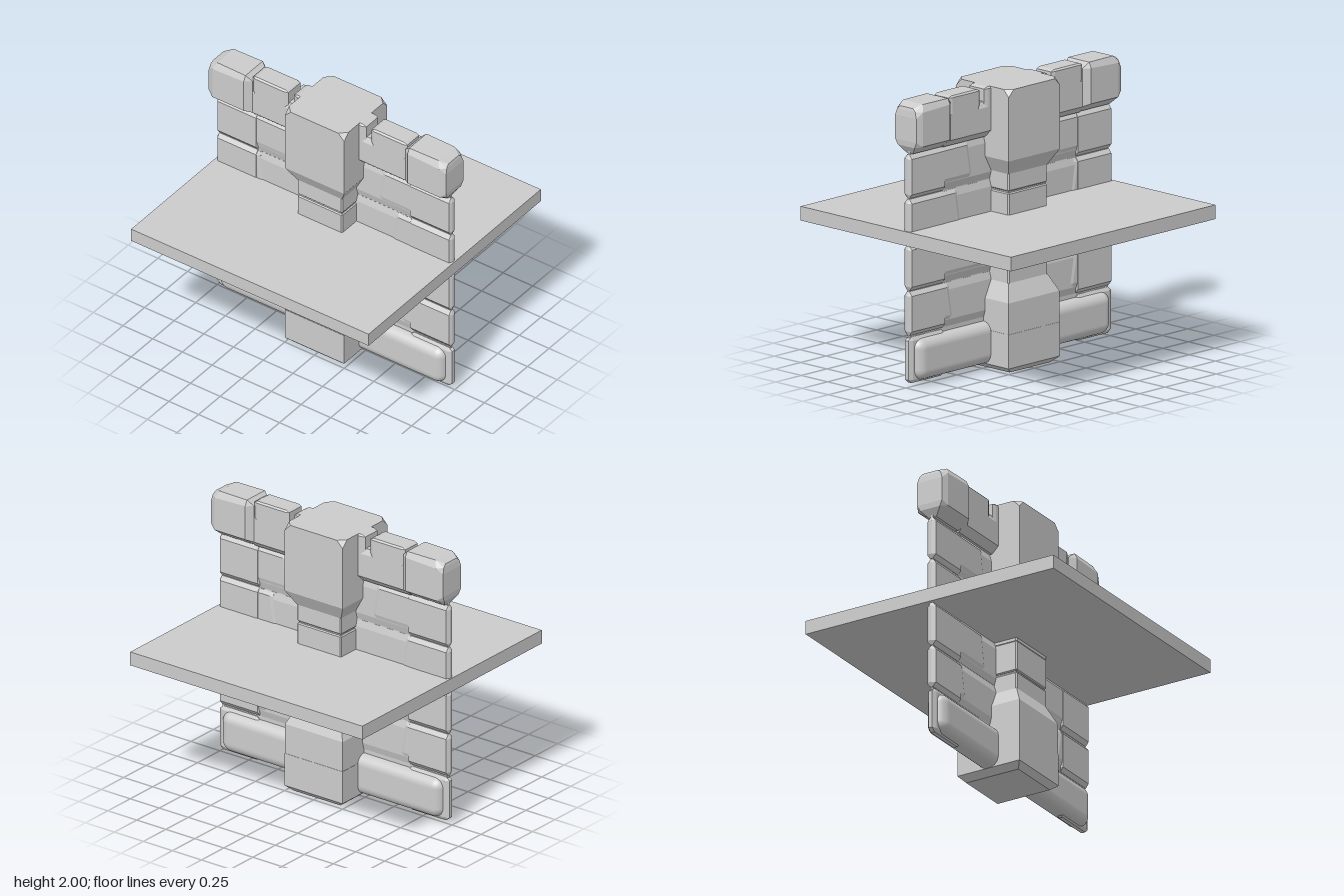
import * as THREE from 'three';
import { RoundedBoxGeometry } from 'three/addons/geometries/RoundedBoxGeometry.js';
import { ConvexGeometry } from 'three/addons/geometries/ConvexGeometry.js';

const stone = new THREE.MeshStandardMaterial({ color: 0xcccccc });
const V = (x, y, z) => new THREE.Vector3(x, y, z);

// Stone with separately sized chamfers along x, y and z
function chamferBox(hx, y0, y1, z0, z1, cx, cy, cz) {
  const yc = (y0 + y1) / 2, hy = (y1 - y0) / 2;
  const zc = (z0 + z1) / 2, hz = Math.abs(z1 - z0) / 2;
  const pts = [];
  for (const a of [-1, 1]) for (const b of [-1, 1]) for (const c of [-1, 1]) {
    pts.push(V(a * hx, yc + b * (hy - cy), zc + c * (hz - cz)));
    pts.push(V(a * (hx - cx), yc + b * hy, zc + c * (hz - cz)));
    pts.push(V(a * (hx - cx), yc + b * (hy - cy), zc + c * hz));
  }
  return new ConvexGeometry(pts);
}

// Convex stack of rectangles, each [half x, half z, y, centre z]
function stack(rings) {
  const pts = [];
  for (const [hx, hz, y, zc = 0] of rings)
    for (const a of [-1, 1]) for (const c of [-1, 1]) pts.push(V(a * hx, y, zc + c * hz));
  return new ConvexGeometry(pts);
}

export function createModel() {
  const model = new THREE.Group();
  const add = (name, geometry, parent = model) => {
    const mesh = new THREE.Mesh(geometry, stone);
    mesh.name = name;
    parent.add(mesh);
    return mesh;
  };

  // Floor slab
  add('floorSlab', new THREE.BoxGeometry(2, 0.1, 2)).position.y = 1.05;

  // Central pillar: flared base, shaft stones, flared cap
  const pillar = new THREE.Group();
  pillar.name = 'pillar';
  model.add(pillar);
  add('pillarFoot', stack([[0.21, 0.2, 0], [0.25, 0.25, 0.04], [0.25, 0.25, 0.28]]), pillar);
  add('pillarBase', stack([[0.248, 0.248, 0.28], [0.248, 0.248, 0.5], [0.19, 0.19, 0.62]]), pillar);
  for (const [y0, y1] of [[0.6, 0.745], [0.755, 0.98], [0.97, 1.255], [1.265, 1.42]])
    add('shaftStone', chamferBox(0.19, y0, y1, -0.19, 0.19, 0.008, 0.008, 0.008), pillar);
  add('shaftCore', new THREE.BoxGeometry(0.36, 0.9, 0.36), pillar).position.y = 1.0;
  const cap = [];
  for (const a of [-1, 1]) for (const c of [-1, 1]) {
    cap.push(V(a * 0.19, 1.39, c * 0.19), V(a * 0.25, 1.5, c * 0.25), V(a * 0.25, 1.95, c * 0.25));
    cap.push(V(a * 0.2, 2, c * 0.25), V(a * 0.25, 2, c * 0.2));
  }
  add('pillarCap', new ConvexGeometry(cap), pillar);

  // Thin courses: [bottom, top, slanted joint on +z side, on -z side]
  const courses = [
    [1.33, 1.64, 0.39, 0.35], [1.0, 1.325, 0.5, 0.6],
    [0.68, 1.0, 0.27, 0.34], [0.365, 0.675, 0.58, 0.59],
  ];
  for (const s of [1, -1]) {
    const wing = new THREE.Group();
    wing.name = s > 0 ? 'frontWing' : 'backWing';
    model.add(wing);

    for (const [y0, y1, jointFront, jointBack] of courses) {
      const joint = s > 0 ? jointFront : jointBack;
      add('endStone', chamferBox(0.034, y0, y1, s * 0.635, s * 0.99, 0.024, 0.03, 0.015), wing);
      add('courseStone', chamferBox(0.024, y0, y1, s * 0.12, s * 0.66, 0.014, 0.05, 0.01), wing);
      // Raised stone with a slanted inner edge
      const face = [];
      for (const x of [-1, 1]) {
        for (const [y, shift] of [[y0 + 0.08, -0.015], [y1 - 0.03, 0.02]])
          face.push(V(x * 0.031, y, s * (joint + shift + 0.03)), V(x * 0.02, y, s * (joint + shift)),
            V(x * 0.031, y, s * 0.65));
        for (const y of [y0 + 0.01, y1 - 0.005])
          face.push(V(x * 0.012, y, s * (joint + 0.03)), V(x * 0.012, y, s * 0.65));
      }
      add('raisedStone', new ConvexGeometry(face), wing);
    }
    // Core that closes the joints between courses
    const core = add('wallCore', new THREE.BoxGeometry(0.018, 1.6, 0.85), wing);
    core.position.set(0, 0.9, s * 0.545);

    // Parapet course and its raised blocks
    add('parapet', stack([
      [0.03, 0.25, 1.64, s * 0.42], [0.08, 0.26, 1.69, s * 0.43],
      [0.08, 0.26, 1.86, s * 0.43], [0.06, 0.26, 1.9, s * 0.43],
    ]), wing);
    add('parapetBlock', chamferBox(0.08, 1.78, 2, s * 0.35, s * 0.65, 0.012, 0.012, 0.025), wing);
    add('parapetInnerBlock', chamferBox(0.08, 1.78, 2, s * 0.2, s * 0.305, 0.012, 0.012, 0.03), wing);

    // Heavy end block, tapering below and towards the wall
    const end = [];
    for (const x of [-1, 1]) {
      end.push(V(x * 0.03, 1.645, s * 0.69), V(x * 0.03, 1.645, s * 0.96));
      end.push(V(x * 0.08, 1.69, s * 0.645), V(x * 0.08, 1.96, s * 0.645));
      end.push(V(x * 0.12, 1.71, s * 0.69), V(x * 0.12, 1.71, s * 0.955));
      end.push(V(x * 0.12, 1.96, s * 0.69), V(x * 0.12, 1.95, s * 0.955));
      end.push(V(x * 0.1, 2, s * 0.69), V(x * 0.095, 2, s * 0.93));
      // Rounded outer face
      end.push(V(x * 0.08, 1.7, s * 0.995), V(x * 0.1, 1.74, s), V(x * 0.1, 1.91, s));
      end.push(V(x * 0.085, 1.955, s * 0.995), V(x * 0.06, 1.975, s * 0.99));
    }
    add('parapetEndBlock', new ConvexGeometry(end), wing);

    // Thin foot stone behind the rounded beam
    add('footStone', chamferBox(0.03, 0.03, 0.355, s * 0.64, s * 0.99, 0.015, 0.025, 0.03), wing);
  }

  // Rounded bottom beam, running through the pillar, with a flatter, sharper top
  const beam = new RoundedBoxGeometry(0.16, 0.3, 1.9, 6, 0.075);
  const p = beam.attributes.position;
  for (let i = 0; i < p.count; i++) {
    const y = p.getY(i), z = p.getZ(i);
    if (y < 0) p.setZ(i, z * (1 - 0.25 * y * y));
    else if (y > 0.075) p.setY(i, 0.075 + (y - 0.075) * 0.95);
  }
  beam.computeVertexNormals();
  add('bottomBeam', beam).position.set(0, 0.19, 0);

  return model;
}
